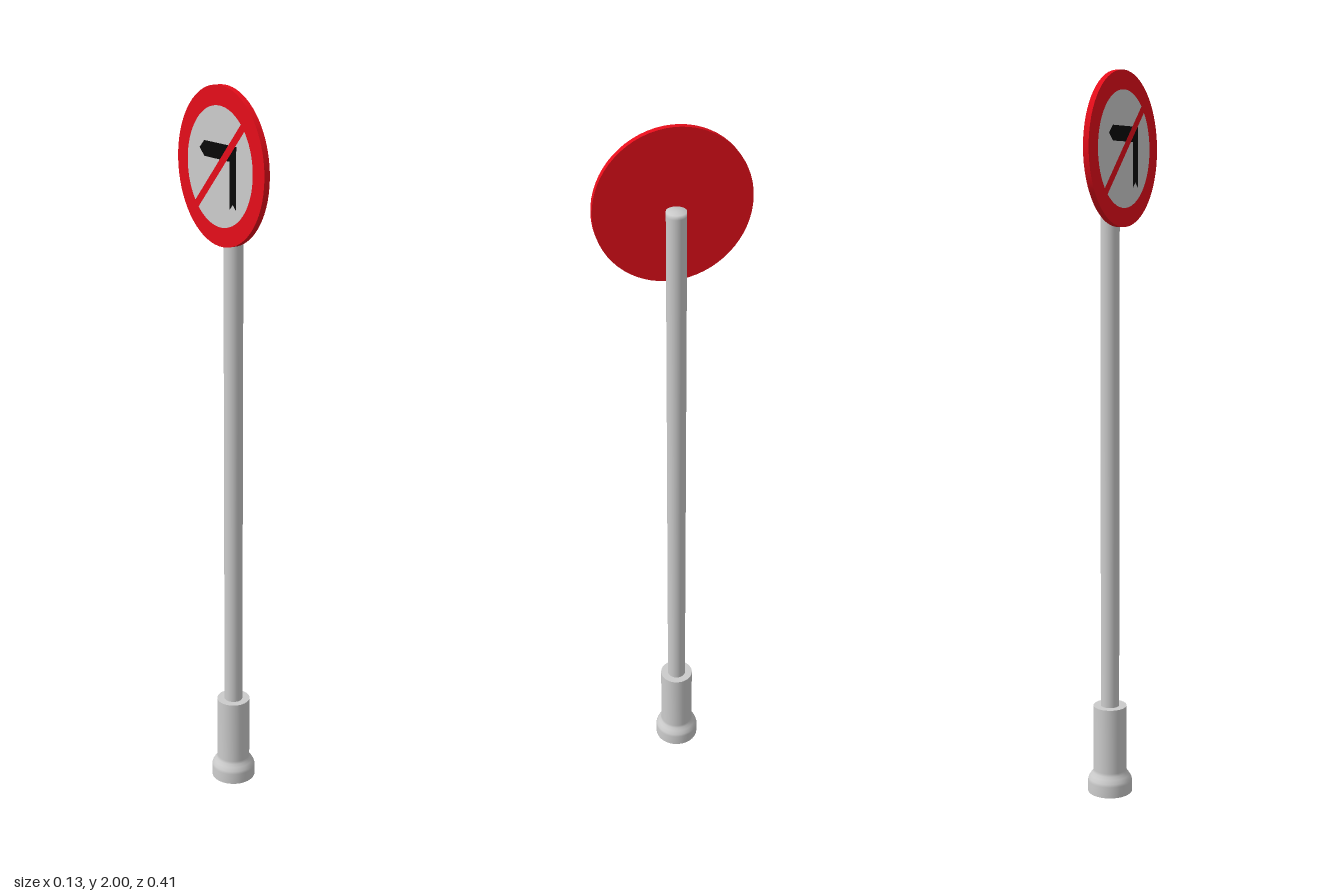
import * as THREE from 'three';

const grey = new THREE.MeshStandardMaterial({ color: 0xcccccc });
const red = new THREE.MeshStandardMaterial({ color: 0xe60d1a });
const black = new THREE.MeshStandardMaterial({ color: 0x080808 });

const points = (list) => list.map(([x, y]) => new THREE.Vector2(x, y));

function add(parent, name, geometry, material) {
  const mesh = new THREE.Mesh(geometry, material);
  mesh.name = name;
  parent.add(mesh);
  return mesh;
}

export function createModel() {
  const model = new THREE.Group();
  model.name = 'roadSign';

  // Pole, with its flat top softly shaded
  add(model, 'pole', new THREE.LatheGeometry(points([
    [0.026, 0.2], [0.026, 1.785], [0.026, 1.797], [0, 1.797],
  ]), 32), grey);

  // Base sleeve with a flared foot; repeated points keep edges sharp
  add(model, 'base', new THREE.LatheGeometry(points([
    [0, 0], [0.063, 0], [0.063, 0], [0.063, 0.032], [0.061, 0.04], [0.055, 0.05],
    [0.049, 0.058], [0.047, 0.066], [0.047, 0.254], [0.047, 0.254], [0.025, 0.254],
  ]), 40), grey);

  // Sign panel, built facing +z and turned to face -x
  const sign = new THREE.Group();
  sign.name = 'sign';
  sign.position.set(-0.0345, 1.797, 0);
  sign.rotation.y = -Math.PI / 2;
  model.add(sign);

  const disc = new THREE.CylinderGeometry(0.203, 0.203, 0.016, 64);
  add(sign, 'signDisc', disc.rotateX(Math.PI / 2), red);

  // Inlaid field, bent arrow and diagonal bar, stacked in thin layers
  const layer = (name, geometry, material, z) => {
    add(sign, name, geometry, material).position.z = z;
  };
  layer('signField', new THREE.CircleGeometry(0.153, 64), grey, 0.0086);

  const arrow = new THREE.Shape(points([
    [0.05, -0.1], [0.064, -0.086], [0.08, -0.1], [0.08, 0.06], [-0.07, 0.06],
    [-0.092, 0.04], [-0.07, 0.02], [0.05, 0.02],
  ]));
  layer('turnArrow', new THREE.ShapeGeometry(arrow), black, 0.0092);

  layer('diagonalBar', new THREE.PlaneGeometry(0.312, 0.022).rotateZ(Math.PI / 4), red, 0.0098);

  return model;
}
